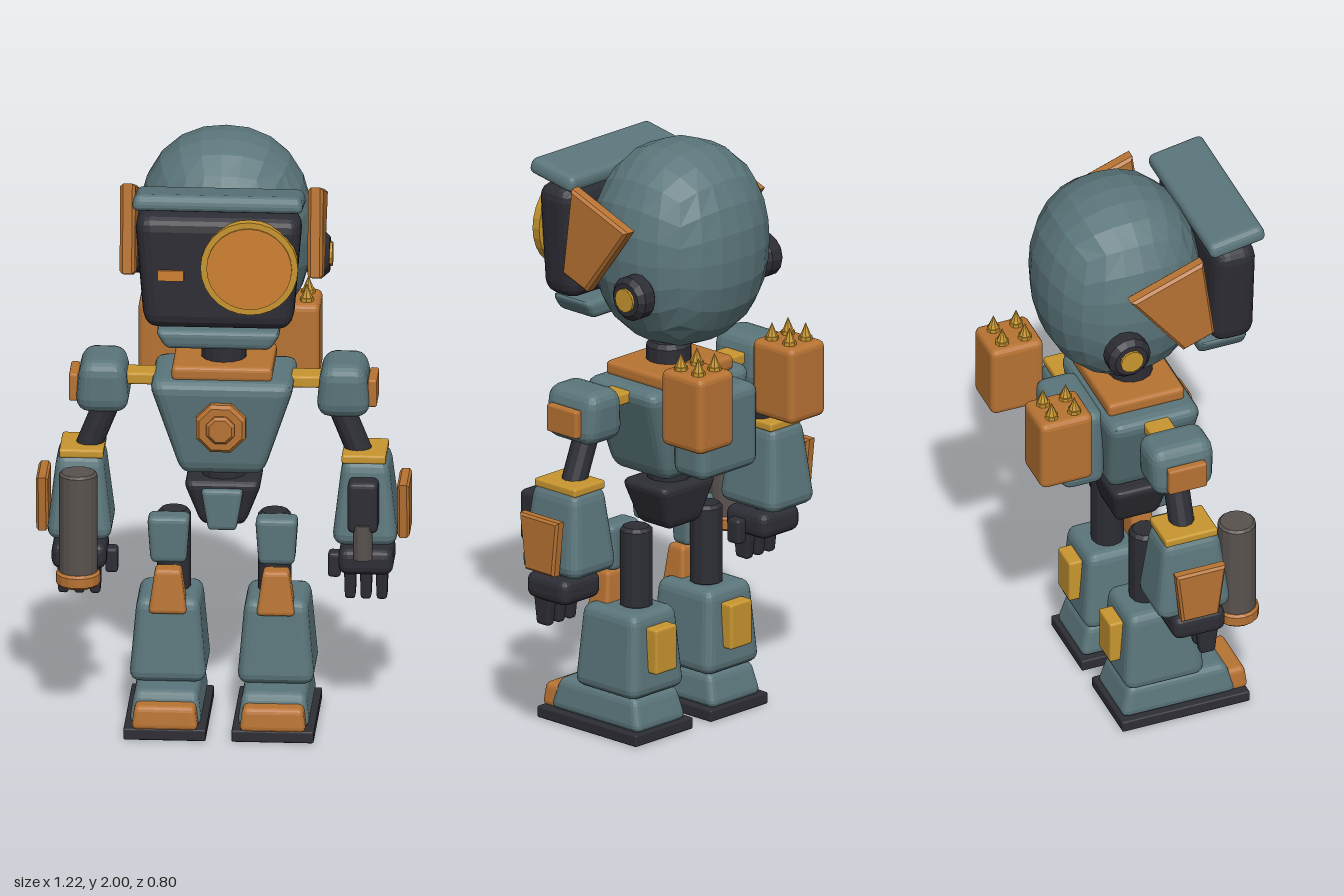
import * as THREE from 'three';
import { RoundedBoxGeometry } from 'three/addons/geometries/RoundedBoxGeometry.js';

const mat = (name, color) => {
  const m = new THREE.MeshStandardMaterial({ color });
  m.name = name;
  return m;
};

export function createModel() {
  const root = new THREE.Group();
  root.name = 'robot';
  const teal = mat('teal armour', 0x5b767b);
  const orange = mat('copper orange', 0xb87333);
  const gold = mat('gold trim', 0xc8962f);
  const dark = mat('dark joint', 0x2d2d35);
  const grey = mat('gun grey', 0x59524f);
  const glow = mat('eye orange', 0xd08134);

  // Faceted mesh from any geometry
  const add = (parent, name, geo, material, x = 0, y = 0, z = 0) => {
    const g = geo.index ? geo.toNonIndexed() : geo;
    g.computeVertexNormals();
    const m = new THREE.Mesh(g, material);
    m.name = name;
    m.position.set(x, y, z);
    parent.add(m);
    return m;
  };
  // Bevelled box scaled linearly from bottom [x,z] to top [x,z]
  const box = (w, h, d, r = 0.02, bottom = [1, 1], top = [1, 1]) => {
    const g = new RoundedBoxGeometry(w, h, d, 2, r);
    const p = g.attributes.position;
    for (let i = 0; i < p.count; i++) {
      const t = p.getY(i) / h + 0.5;
      p.setX(i, p.getX(i) * (bottom[0] + (top[0] - bottom[0]) * t));
      p.setZ(i, p.getZ(i) * (bottom[1] + (top[1] - bottom[1]) * t));
    }
    return g;
  };
  const cyl = (r, h, n = 12, r2 = r) => new THREE.CylinderGeometry(r, r2, h, n);
  const drum = (r, bevel, h, n) => new THREE.LatheGeometry(
    [[0, -h / 2], [r - bevel, -h / 2], [r, -h / 2 + bevel], [r, h / 2 - bevel], [r - bevel, h / 2], [0, h / 2]]
      .map(([a, b]) => new THREE.Vector2(a, b)), n);
  // Bevelled side plate from [z, y] corners, growing outward along +x
  const sidePlate = (pts, depth, b = 0.01) => {
    const s = new THREE.Shape(pts.map(([z, y]) => new THREE.Vector2(-z, y)));
    const g = new THREE.ExtrudeGeometry(s, {
      depth: depth - 2 * b, bevelSize: b, bevelThickness: b, bevelOffset: -b, bevelSegments: 1,
    });
    return g.translate(0, 0, b).rotateY(Math.PI / 2);
  };

  // ---- Head ----
  const head = new THREE.Group();
  head.name = 'head';
  root.add(head);
  const skull = new THREE.BoxGeometry(2, 2, 2, 6, 6, 6);
  const sp = skull.attributes.position;
  const v = new THREE.Vector3();
  for (let i = 0; i < sp.count; i++) {
    v.fromBufferAttribute(sp, i);
    v.set(...v.toArray().map((c) => Math.tan(c * Math.PI / 4)));
    const n = 2.25;
    const len = (Math.abs(v.x) ** n + Math.abs(v.y) ** n + Math.abs(v.z) ** n) ** (1 / n);
    v.divideScalar(len);
    sp.setXYZ(i, v.x * 0.288, v.y * 0.345, v.z * 0.273);
  }
  add(head, 'skull', skull, teal, 0, 1.655, -0.022);
  add(head, 'visor', box(0.54, 0.39, 0.15, 0.05, [0.9, 1], [1.02, 1]), dark, 0, 1.635, 0.305);
  add(head, 'brim', box(0.565, 0.055, 0.2, 0.022, [1, 1], [0.97, 0.97]), teal, 0, 1.87, 0.303).rotation.x = -0.17;
  add(head, 'chin', box(0.42, 0.065, 0.17, 0.022, [0.82, 0.95], [1, 1]), teal, 0, 1.402, 0.285);
  add(head, 'eyeRing', cyl(0.16, 0.03, 28), gold, 0.105, 1.665, 0.38).rotation.x = Math.PI / 2;
  add(head, 'eyeLens', cyl(0.14, 0.008, 28), glow, 0.105, 1.665, 0.397).rotation.x = Math.PI / 2;
  add(head, 'visorSlit', new THREE.BoxGeometry(0.085, 0.036, 0.009), glow, -0.153, 1.632, 0.383);

  // ---- Torso ----
  add(root, 'neck', drum(0.075, 0.015, 0.1, 14), dark, 0, 1.25, 0.032);
  add(root, 'collar', box(0.33, 0.05, 0.27, 0.015), orange, 0, 1.213, 0.027);
  add(root, 'torso', box(0.48, 0.33, 0.33, 0.045, [0.56, 0.78], [1.02, 1]), teal, 0, 1.03, 0.035);
  const badge = add(root, 'chestBadge', drum(0.088, 0.012, 0.06, 8), orange, 0, 1.045, 0.195);
  badge.rotation.set(Math.PI / 2, Math.PI / 8, 0);
  add(root, 'badgeCore', drum(0.05, 0.01, 0.04, 8), orange, 0, 1.045, 0.222).rotation.set(Math.PI / 2, Math.PI / 8, 0);
  add(root, 'backpack', box(0.27, 0.29, 0.15, 0.035), teal, 0, 1.045, -0.18);
  add(root, 'waist', cyl(0.075, 0.12, 12), dark, 0, 0.85, 0.03);
  add(root, 'pelvis', box(0.26, 0.16, 0.21, 0.03, [0.55, 0.7], [1.02, 1]), dark, 0, 0.752, 0.03);
  add(root, 'pelvisPlate', box(0.14, 0.14, 0.05, 0.015, [0.66, 1], [1, 1]), teal, 0, 0.738, 0.125);

  // ---- Mirrored parts: each side is modelled on +x ----
  const pair = (name, build) => [1, -1].forEach((s) => {
    const g = new THREE.Group();
    g.name = (s > 0 ? 'left' : 'right') + name;
    g.scale.x = s;
    root.add(g);
    build(g, s);
  });

  pair('HeadSide', (g) => {
    add(g, 'cheekPlate', sidePlate([[0.16, 1.87], [-0.095, 1.775], [0.09, 1.53], [0.2, 1.57]], 0.05), orange, 0.283);
    add(g, 'earKnob', drum(0.075, 0.018, 0.08, 14), dark, 0.3, 1.55, -0.1).rotation.z = Math.PI / 2;
    add(g, 'earCap', cyl(0.04, 0.015, 12), gold, 0.341, 1.55, -0.1).rotation.z = Math.PI / 2;
  });

  pair('Pod', (g) => {
    add(g, 'podCase', box(0.165, 0.26, 0.185, 0.022), orange, 0.215, 1.198, -0.307);
    for (const dx of [-0.038, 0.038]) for (const dz of [-0.04, 0.04]) {
      add(g, 'spikeBase', cyl(0.023, 0.014, 8), gold, 0.215 + dx, 1.333, -0.307 + dz);
      add(g, 'spike', new THREE.ConeGeometry(0.02, 0.05, 8), gold, 0.215 + dx, 1.362, -0.307 + dz);
    }
  });

  pair('Arm', (g, s) => {
    const z = 0.035;
    add(g, 'shoulderStrap', box(0.13, 0.04, 0.09, 0.008), gold, 0.26, 1.165, z);
    add(g, 'shoulder', box(0.18, 0.18, 0.25, 0.05, [1, 0.85], [0.82, 0.9]), teal, 0.395, 1.148, z);
    add(g, 'shoulderPlate', box(0.03, 0.095, 0.135, 0.008), orange, 0.49, 1.138, z);
    add(g, 'upperArm', cyl(0.043, 0.22, 12), dark, 0.407, 1.01, z).rotation.z = 0.38;
    add(g, 'forearm', box(0.215, 0.29, 0.26, 0.04, [1.02, 1.02], [0.7, 0.76]), teal, 0.468, 0.77, z);
    add(g, 'elbowBand', box(0.145, 0.03, 0.185, 0.008), gold, 0.463, 0.916, z);
    add(g, 'forearmPlate', sidePlate([[0.125, 0.83], [-0.05, 0.83], [-0.03, 0.64], [0.1, 0.64]], 0.04, 0.008), orange, 0.572);
    // Hand
    add(g, 'wrist', cyl(0.05, 0.08, 12), dark, 0.468, 0.615, z);
    add(g, 'palm', box(0.18, 0.09, 0.185, 0.03), dark, 0.47, 0.565, 0.057);
    for (const x of [0.418, 0.47, 0.522])
      add(g, 'finger', box(0.04, 0.12, 0.08, 0.012, [0.85, 0.65], [1, 1]), dark, x, 0.49, 0.09);
    add(g, 'thumb', box(0.042, 0.085, 0.055, 0.012), dark, 0.365, 0.54, 0.075);
    if (s > 0) {
      // Compact blaster
      add(g, 'blasterBody', box(0.1, 0.175, 0.08, 0.018), dark, 0.465, 0.778, 0.178);
      add(g, 'blasterBarrel', cyl(0.032, 0.12, 12), grey, 0.465, 0.66, 0.198);
    } else {
      // Long cannon
      add(g, 'cannonBarrel', drum(0.063, 0.008, 0.37, 16), grey, 0.467, 0.703, 0.22);
      add(g, 'cannonMuzzle', drum(0.073, 0.008, 0.048, 16), orange, 0.467, 0.524, 0.22);
    }
  });

  pair('Leg', (g) => {
    const x = 0.177;
    add(g, 'thigh', drum(0.055, 0.012, 0.28, 12), dark, 0.165, 0.56, 0.02);
    add(g, 'thighPlate', box(0.14, 0.16, 0.085, 0.02, [0.84, 0.85], [1, 1]), teal, x, 0.625, 0.095);
    add(g, 'knee', box(0.125, 0.15, 0.09, 0.015, [1.02, 1.1], [0.68, 0.75]), orange, x, 0.458, 0.13);
    add(g, 'shin', box(0.25, 0.285, 0.28, 0.035, [1.02, 1.01], [0.82, 0.86]), teal, x, 0.288, 0.04);
    add(g, 'calfPlate', box(0.1, 0.155, 0.05, 0.008), gold, x, 0.308, -0.105);
    const foot = add(g, 'foot', box(0.235, 0.11, 0.4, 0.025, [1.02, 1.02], [0.88, 0.86]), teal, x, 0.093, 0.09);
    foot.scale.y = 1.02;
    add(g, 'toeCap', box(0.215, 0.08, 0.09, 0.018, [1.02, 1], [0.92, 0.8]), orange, x, 0.076, 0.292);
    add(g, 'sole', box(0.27, 0.04, 0.45, 0.006), dark, x, 0.02, 0.105);
  });

  return root;
}
